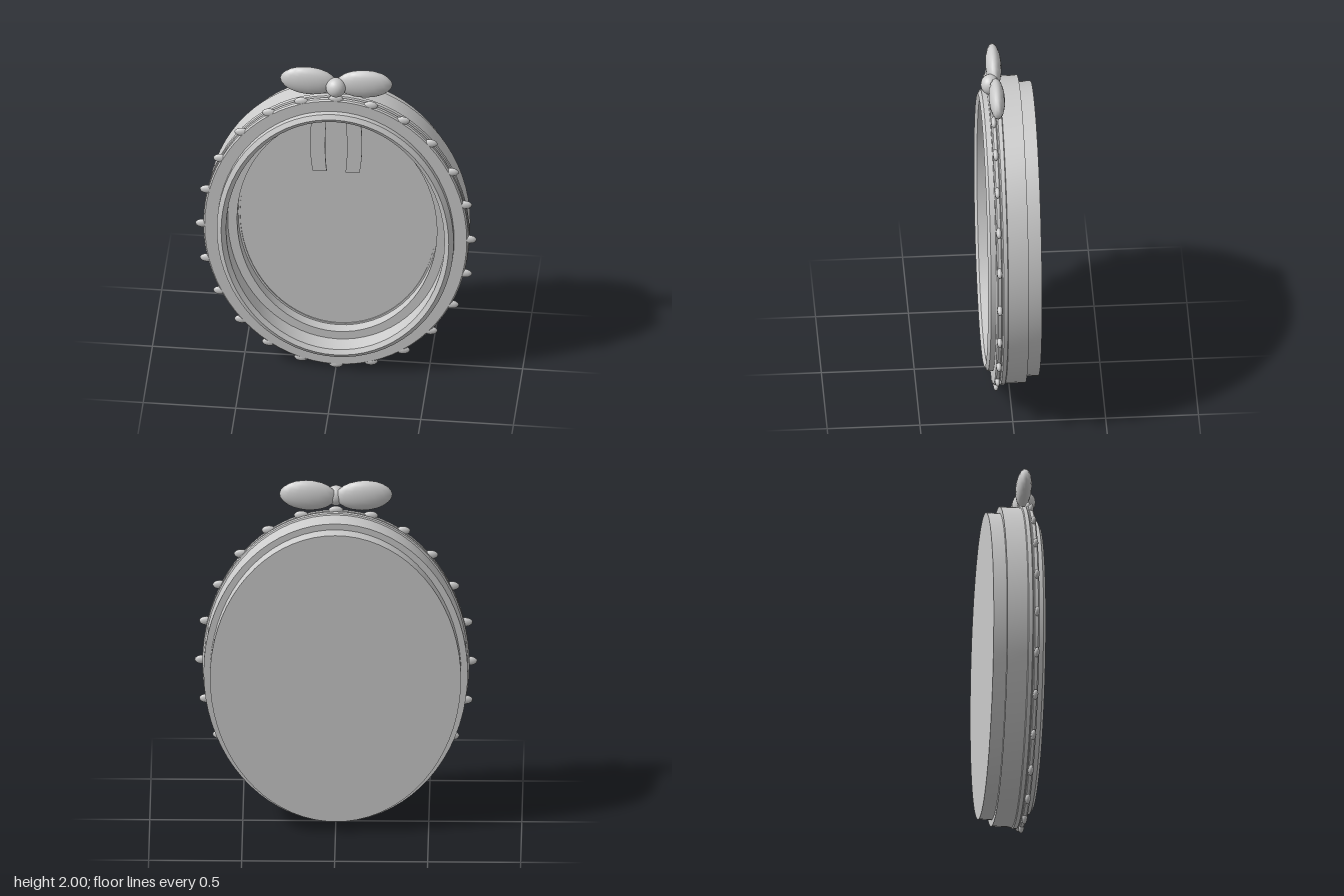
import * as THREE from 'three';
import { toCreasedNormals } from 'three/addons/utils/BufferGeometryUtils.js';

const CY = 0.92;      // height of the oval's centre
const STRETCH = 0.18; // extra vertical radius of every oval

// Revolves a (radius, z) profile around z and stretches it into an oval
function ovalLathe(profile) {
  const geo = new THREE.LatheGeometry(profile.map(([r, z]) => new THREE.Vector2(r, z)), 72);
  geo.rotateX(Math.PI / 2);
  const p = geo.attributes.position;
  for (let i = 0; i < p.count; i++) {
    const r = Math.hypot(p.getX(i), p.getY(i));
    if (r > 0.001) p.setY(i, p.getY(i) * (1 + STRETCH / r));
  }
  return toCreasedNormals(geo, 0.4);
}

export function createModel() {
  const group = new THREE.Group();
  const grey = new THREE.MeshStandardMaterial({ color: 0xcccccc });
  grey.name = 'plain grey';

  function add(name, geo, x = 0, y = 0, z = 0) {
    const mesh = new THREE.Mesh(geo, grey);
    mesh.name = name;
    mesh.position.set(x, y, z);
    group.add(mesh);
    return mesh;
  }

  // Stepped back, main body, trim and raised lip around a recessed floor
  add('ovalFrame', ovalLathe([
    [0, -0.147], [0.675, -0.147], [0.675, -0.075], [0.71, -0.075], [0.71, 0.035],
    [0.718, 0.039], [0.718, 0.06], [0.708, 0.066], [0.708, 0.07], [0.716, 0.073],
    [0.716, 0.09], [0.708, 0.097], [0.64, 0.097], [0.64, 0.125], [0.615, 0.14],
    [0.59, 0.125], [0.59, 0.03], [0.54, 0.03], [0.54, -0.03], [0.53, -0.03],
    [0.53, -0.036], [0, -0.036],
  ]), 0, CY, 0);

  // Beads around the rim
  const beadGeo = new THREE.SphereGeometry(1, 12, 8);
  beadGeo.scale(0.04, 0.025, 0.015);
  for (let i = 0; i < 24; i++) {
    const a = (i / 24) * Math.PI * 2;
    add('rimBead', beadGeo, 0.72 * Math.cos(a), CY + 0.895 * Math.sin(a), 0.083);
  }

  // Bow: two loops, a knot and two hanging tails
  const loopGeo = new THREE.SphereGeometry(1, 16, 12);
  loopGeo.scale(0.154, 0.086, 0.043);
  for (const s of [-1, 1]) {
    add('bowLoop', loopGeo, s * 0.15, 1.914, 0.064).rotation.z = s * 0.06;
  }
  const knotGeo = new THREE.SphereGeometry(1, 20, 14);
  knotGeo.scale(0.054, 0.056, 0.05);
  add('bowKnot', knotGeo, 0, 1.9, 0.092);

  const tail = new THREE.Shape();
  tail.moveTo(-0.037, 1.32);
  tail.lineTo(0.039, 1.32);
  tail.quadraticCurveTo(0.022, 1.48, 0.04, 1.7);
  tail.lineTo(-0.04, 1.7);
  tail.quadraticCurveTo(-0.062, 1.48, -0.037, 1.32);
  const tailGeo = new THREE.ExtrudeGeometry(tail, { depth: 0.012, bevelEnabled: false, curveSegments: 8 });
  add('bowTail', tailGeo, -0.09, 0, 0.068);
  const mirrored = tail.getPoints(8).map((p) => new THREE.Vector2(-p.x, p.y));
  const mirrorGeo = new THREE.ExtrudeGeometry(new THREE.Shape(mirrored), { depth: 0.012, bevelEnabled: false });
  add('bowTail', mirrorGeo, 0.09, 0, 0.068);

  return group;
}
